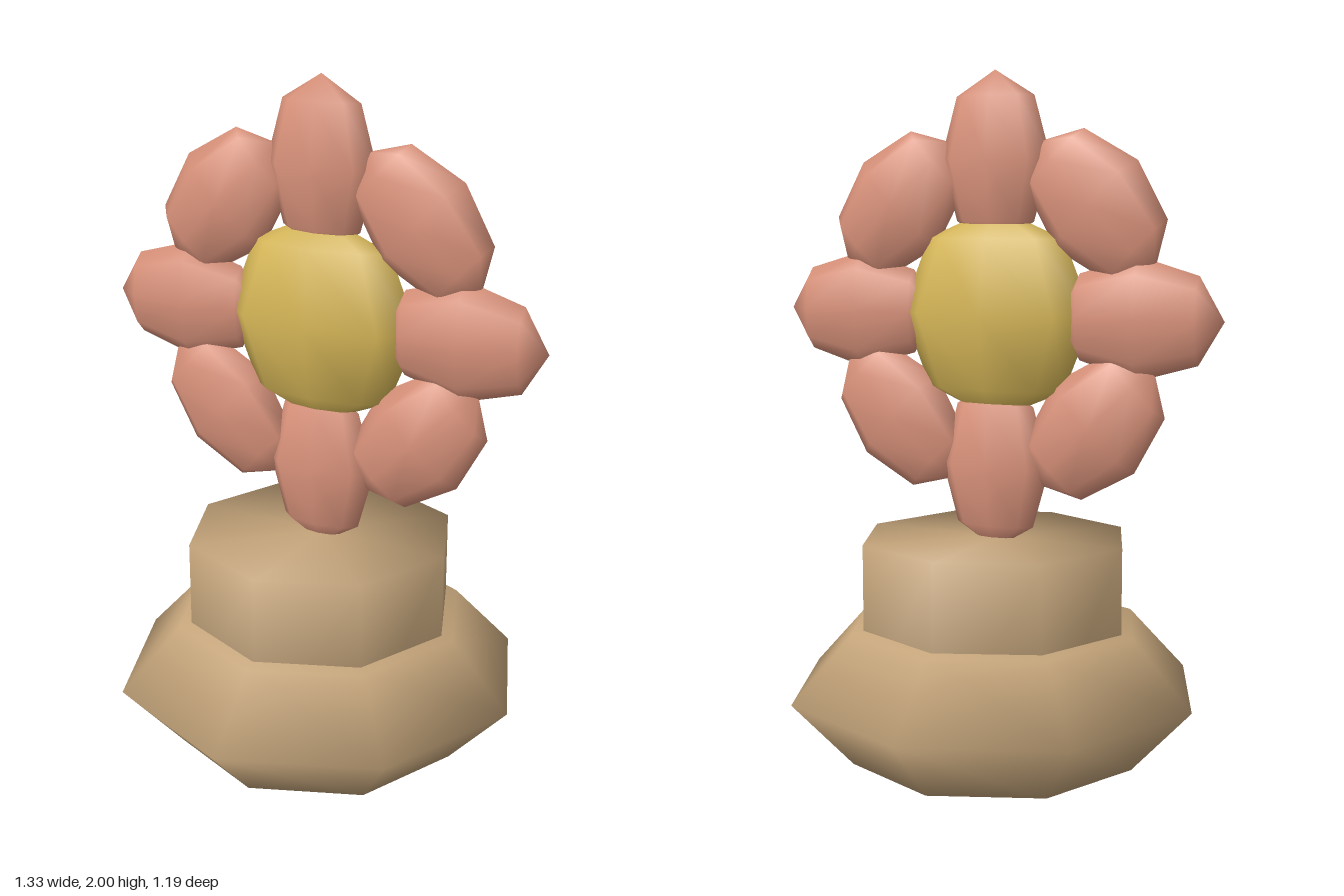
import * as THREE from 'three';
import { mergeVertices } from 'three/addons/utils/BufferGeometryUtils.js';

const material = (name, color) => {
  const m = new THREE.MeshStandardMaterial({ color });
  m.name = name;
  return m;
};

export function createModel() {
  const clay = material('clay tan', 0xc4a47a);
  const pink = material('petal pink', 0xdc947c);
  const yellow = material('centre yellow', 0xd8b858);
  const group = new THREE.Group();
  group.name = 'pottedFlower';

  const ball = new THREE.SphereGeometry(1, 8, 4);
  const add = (name, geometry, mat, position, scale = [1, 1, 1], turn = 0) => {
    const mesh = new THREE.Mesh(geometry, mat);
    mesh.name = name;
    mesh.position.set(...position);
    mesh.scale.set(...scale);
    mesh.rotation.z = turn;
    group.add(mesh);
  };

  // Squashed round base
  add('potBase', ball, clay, [0, 0.268, 0], [0.595, 0.266, 0.595]);

  // Eight-sided neck with a closed top and softened normals
  let neck = new THREE.CylinderGeometry(0.387, 0.387, 0.5, 8);
  neck.deleteAttribute('normal');
  neck.deleteAttribute('uv');
  neck = mergeVertices(neck);
  neck.computeVertexNormals();
  add('potNeck', neck, clay, [0, 0.455, 0]);

  // Flower head: domed centre and a ring of petals, the diagonal ones lying crosswise
  const headY = 1.335;
  add('flowerCentre', ball, yellow, [0, headY, 0], [0.295, 0.295, 0.105]);
  for (let i = 0; i < 8; i++) {
    const a = (i * Math.PI) / 4;
    add('petal' + (i + 1), ball, pink,
      [Math.sin(a) * 0.425, headY + Math.cos(a) * 0.425, 0], [0.167, 0.24, 0.063], a);
  }
  return group;
}
